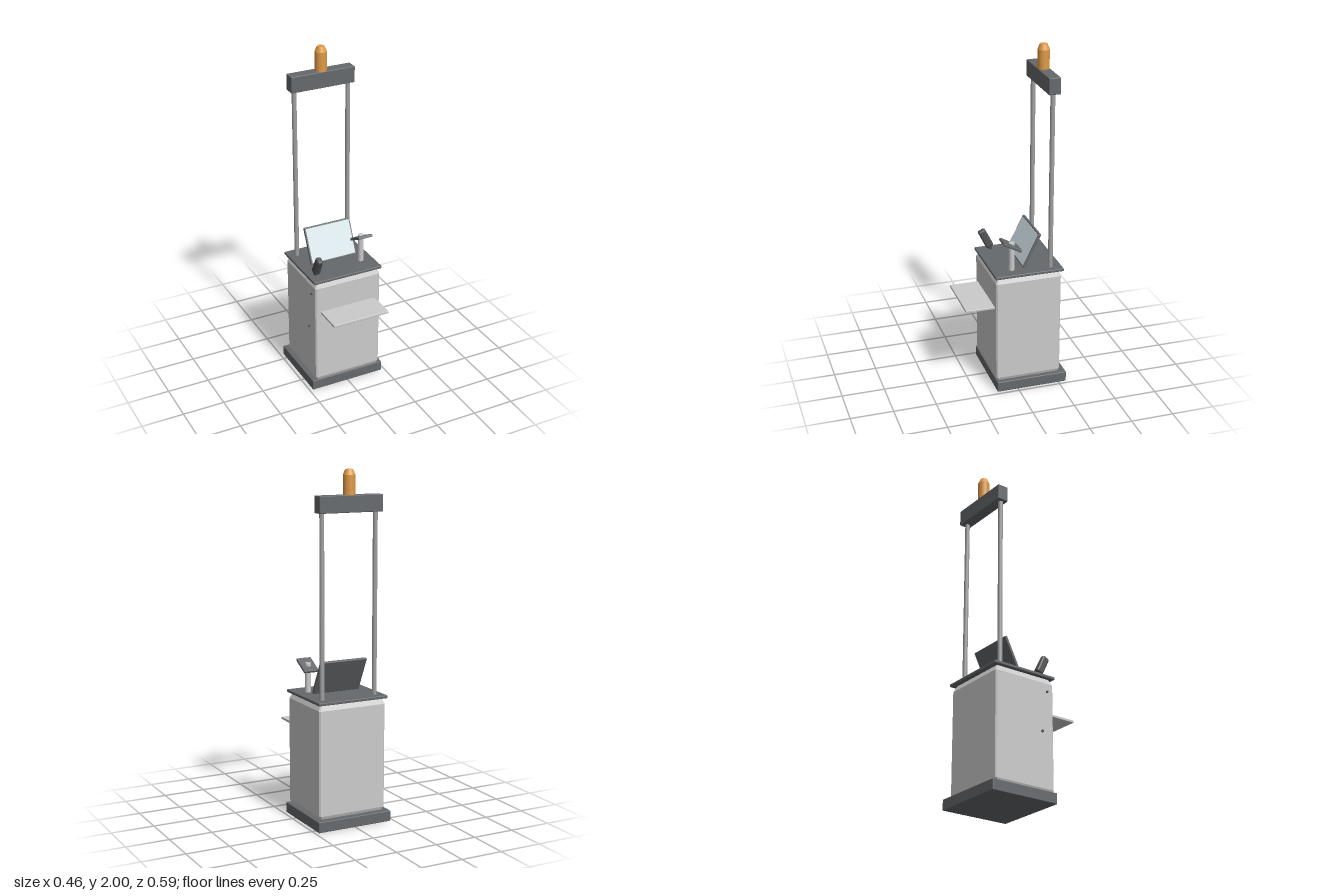
import * as THREE from 'three';
import { RoundedBoxGeometry } from 'three/addons/geometries/RoundedBoxGeometry.js';
import { ConvexGeometry } from 'three/addons/geometries/ConvexGeometry.js';

const mat = (color, extra = {}) => new THREE.MeshStandardMaterial({ color, ...extra });

export function createModel() {
  const group = new THREE.Group();
  const grey = mat(0xcccccc);
  const greyFlat = mat(0xcccccc, { flatShading: true });
  const dark = mat(0x66696c);
  const black = mat(0x505254);
  const steel = mat(0xa0a0a0);
  const glass = mat(0xd3e0e5);
  const amber = mat(0xe09a45);

  const add = (name, geometry, material, x, y, z, parent = group) => {
    const mesh = new THREE.Mesh(geometry, material);
    mesh.name = name;
    mesh.position.set(x, y, z);
    parent.add(mesh);
    return mesh;
  };
  const box = (w, h, d, r = 0.004) => new RoundedBoxGeometry(w, h, d, 2, r);

  // Plinth and worktop
  add('base', box(0.46, 0.062, 0.422), dark, 0, 0.031, -0.086);
  add('worktop', box(0.434, 0.017, 0.406), dark, 0, 0.727, -0.073);

  // Cabinet: chamfered rectangles stacked at [height, inset]
  const points = [];
  for (const [y, inset] of [[0.06, 0.008], [0.07, 0.008], [0.08, 0], [0.685, 0], [0.72, 0.016]]) {
    const w = 0.208 - inset, d = 0.194 - inset, c = 0.008;
    for (const sx of [-1, 1]) for (const sz of [-1, 1]) {
      points.push(new THREE.Vector3(sx * (w - c), y, sz * d), new THREE.Vector3(sx * w, y, sz * (d - c)));
    }
  }
  add('cabinet', new ConvexGeometry(points), greyFlat, 0, 0, -0.069);

  // Front shelf
  add('shelf', box(0.35, 0.015, 0.18, 0.003), grey, 0, 0.523, 0.205);

  // Small studs on the right side of the cabinet
  for (const [y, z] of [[0.637, 0.08], [0.4, 0.045]]) {
    add('sideStud', new THREE.CylinderGeometry(0.007, 0.007, 0.012, 12), black, -0.209, y, z).rotation.z = Math.PI / 2;
  }

  // Rear mast: two posts, crossbar, warning light
  for (const side of [-1, 1]) {
    add('mastPost', new THREE.CylinderGeometry(0.0135, 0.0135, 1.04, 20), steel, side * 0.166, 1.25, -0.21);
  }
  add('crossbar', box(0.39, 0.095, 0.067), dark, 0, 1.814, -0.212);
  const lightProfile = [[0, 0], [0.034, 0], [0.034, 0], [0.034, 0.11], [0.034, 0.11], [0.021, 0.14], [0.021, 0.14], [0, 0.14]]
    .map(([r, y]) => new THREE.Vector2(r, y));
  add('warningLight', new THREE.LatheGeometry(lightProfile, 24), amber, 0, 1.86, -0.212);

  // Tilted display
  const display = new THREE.Group();
  display.name = 'display';
  display.position.set(0, 0.838, -0.106);
  display.rotation.x = -0.46;
  group.add(display);
  add('displayCase', box(0.294, 0.218, 0.017), dark, 0, 0, 0, display);
  add('displayGlass', new THREE.BoxGeometry(0.278, 0.2, 0.003), glass, 0, 0, 0.0085, display);

  // Reader plate on a short stand
  add('readerStand', new THREE.CylinderGeometry(0.017, 0.017, 0.172, 20), grey, 0.14, 0.818, 0.013);
  add('readerPlate', box(0.09, 0.016, 0.12), dark, 0.14, 0.889, 0.02).rotation.x = -0.5;

  // Handset, narrower towards its upper end
  const handsetShape = new RoundedBoxGeometry(0.042, 0.12, 0.046, 4, 0.012);
  const pos = handsetShape.attributes.position;
  for (let i = 0; i < pos.count; i++) {
    const taper = 1 - 0.22 * (pos.getY(i) / 0.12 + 0.5);
    pos.setX(i, pos.getX(i) * taper);
  }
  handsetShape.computeVertexNormals();
  add('handset', handsetShape, black, -0.17, 0.807, 0.076).rotation.x = 0.46;
  add('handsetSocket', new THREE.CylinderGeometry(0.01, 0.012, 0.022, 16), black, -0.17, 0.746, 0.047);

  return group;
}
